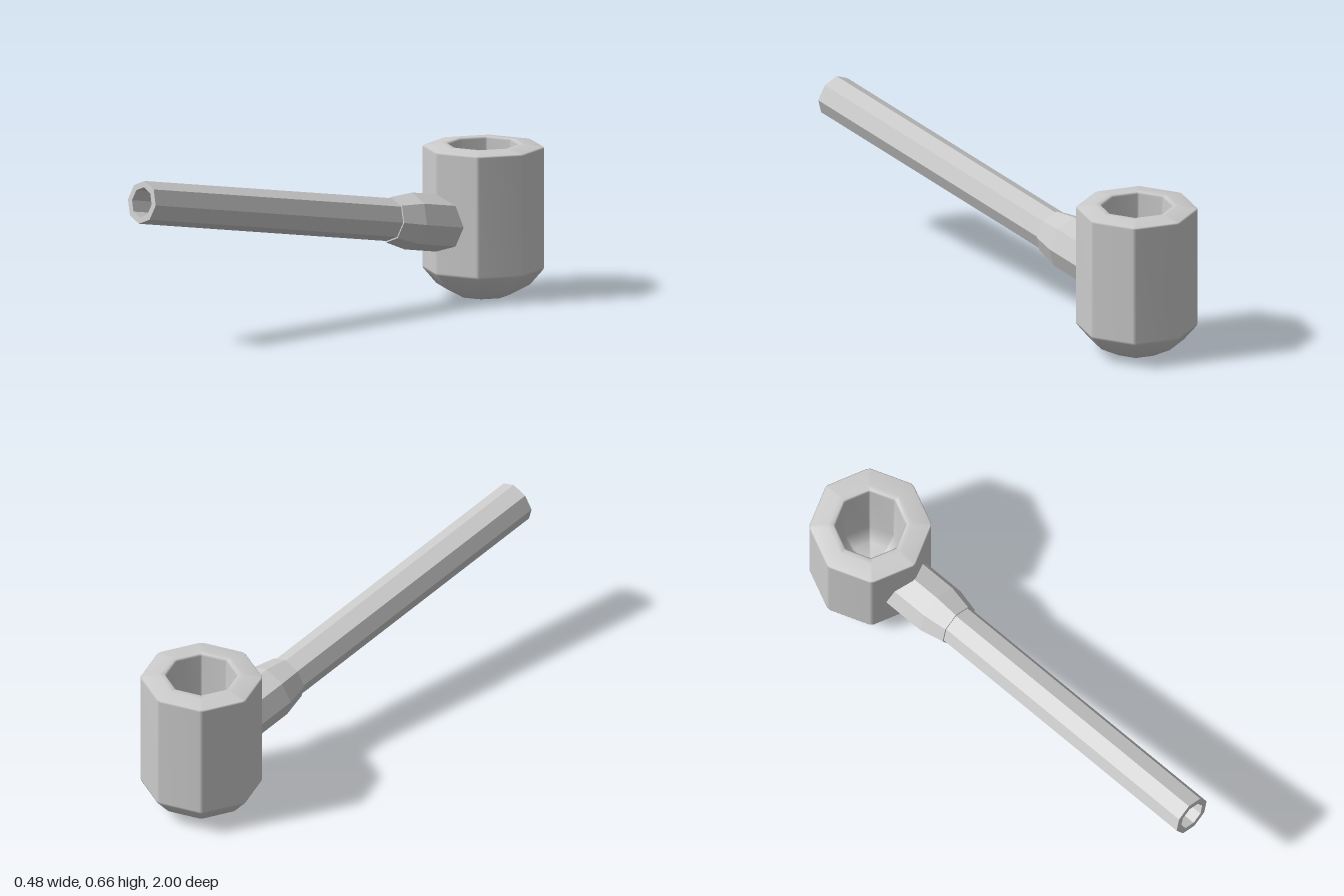
import * as THREE from 'three';
import { mergeVertices } from 'three/addons/utils/BufferGeometryUtils.js';

const SIDES = 8;
const toPoints = (list) => list.map(([r, y]) => new THREE.Vector2(r, y));

// Octagonal lathe whose upright corners carry a narrow bevel, softly shaded
function beveledLathe(profile, bevel) {
  const points = toPoints(profile);
  const geometry = new THREE.LatheGeometry(points, SIDES * 2);
  const position = geometry.attributes.position;
  for (let i = 0; i < position.count; i++) {
    const column = Math.floor(i / points.length) % (SIDES * 2);
    const corner = Math.floor(column / 2) * (Math.PI * 2 / SIDES);
    const angle = corner + (column % 2 ? bevel : -bevel);
    const p = points[i % points.length];
    position.setXYZ(i, p.x * Math.sin(angle), p.y, p.x * Math.cos(angle));
  }
  geometry.deleteAttribute('normal');
  geometry.deleteAttribute('uv');
  const merged = mergeVertices(geometry, 1e-5);
  merged.computeVertexNormals();
  return merged;
}

export function createModel() {
  const model = new THREE.Group();
  model.name = 'smokingPipe';
  const smooth = new THREE.MeshStandardMaterial({ color: 0xcccccc });
  const faceted = new THREE.MeshStandardMaterial({ color: 0xcccccc, flatShading: true });

  // Bowl: chamfered base, upright wall, rounded rim and hollow chamber
  const bowl = new THREE.Mesh(beveledLathe([
    [0, 0], [0.1, 0], [0.185, 0.045], [0.236, 0.104], [0.239, 0.114],
    [0.239, 0.588], [0.234, 0.594], [0.165, 0.604], [0.144, 0.604], [0.137, 0.597],
    [0.132, 0.22], [0.095, 0.14], [0, 0.12],
  ], 0.03), smooth);
  bowl.name = 'bowl';
  bowl.position.z = -0.762;
  model.add(bowl);

  // Stem assembly: starts at the mouth end and slopes down towards the bowl
  const stemAssembly = new THREE.Group();
  stemAssembly.name = 'stemAssembly';
  stemAssembly.position.set(0, 0.581, 0.984);
  stemAssembly.rotation.x = THREE.MathUtils.degToRad(-100);
  model.add(stemAssembly);

  const addLathe = (name, profile) => {
    const mesh = new THREE.Mesh(new THREE.LatheGeometry(toPoints(profile), SIDES), faceted);
    mesh.name = name;
    stemAssembly.add(mesh);
  };

  // Bored stem
  addLathe('stem', [[0, 1.25], [0.06, 1.25], [0.06, 0], [0.085, 0], [0.085, 1.32]]);

  // Collar flaring from the stem and running into the bowl wall
  addLathe('collar', [[0.08, 1.285], [0.091, 1.285], [0.113, 1.385], [0.113, 1.595], [0, 1.595]]);

  return model;
}
